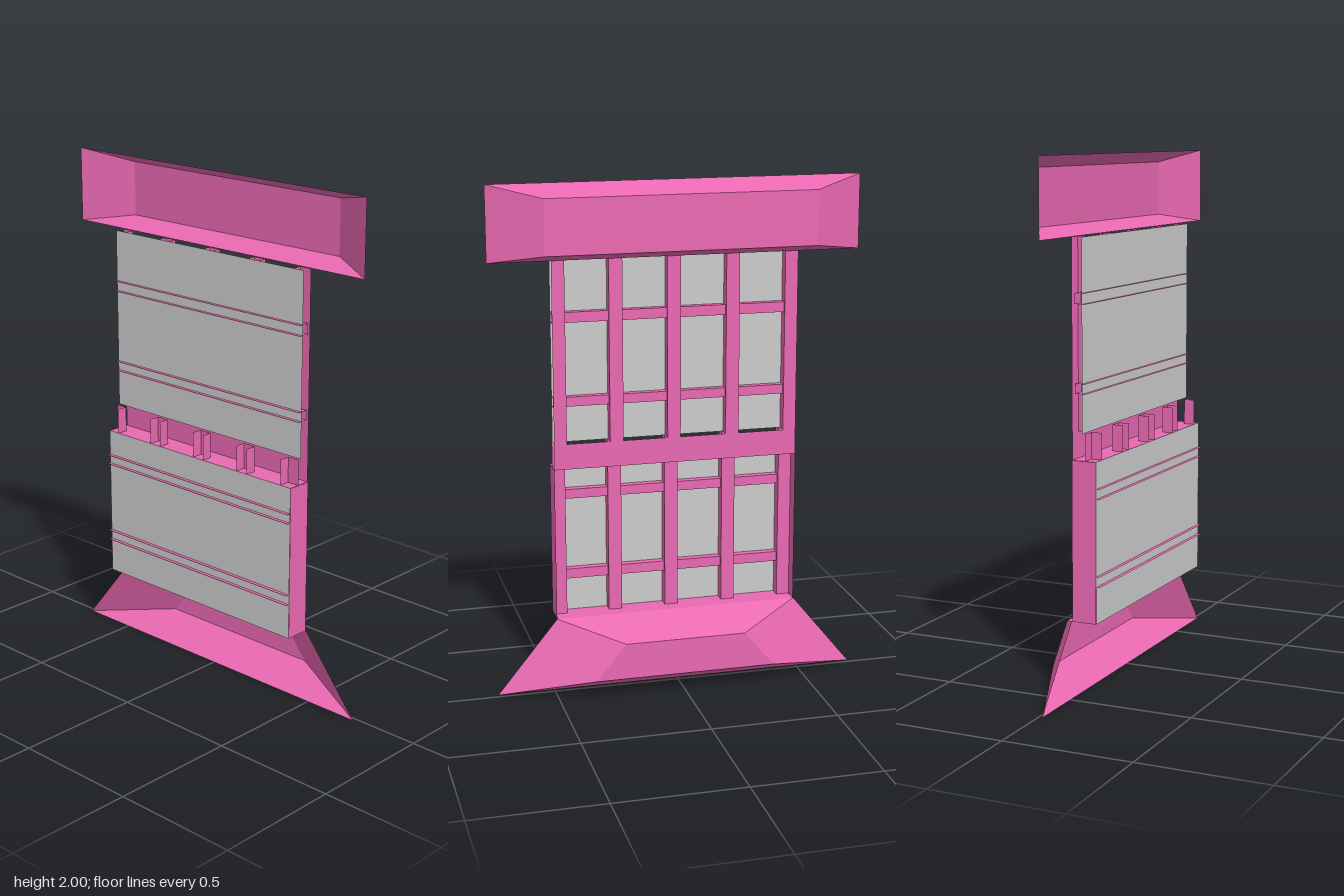
import * as THREE from 'three';

const pink = new THREE.MeshStandardMaterial({ color: 0xe968b1, side: THREE.DoubleSide, flatShading: true });
const grey = new THREE.MeshStandardMaterial({ color: 0xcccccc, side: THREE.DoubleSide, flatShading: true });

// Mesh made of flat four-cornered sheets
function sheets(name, quads, material = pink) {
  const pos = [];
  for (const [a, b, c, d] of quads) pos.push(...a, ...b, ...c, ...a, ...c, ...d);
  const geo = new THREE.BufferGeometry();
  geo.setAttribute('position', new THREE.Float32BufferAttribute(pos, 3));
  geo.computeVertexNormals();
  const mesh = new THREE.Mesh(geo, material);
  mesh.name = name;
  return mesh;
}

// Axis-aligned sheets, each facing along one axis
const faceX = (x, y0, y1, z0, z1) => [[x, y0, z1], [x, y0, z0], [x, y1, z0], [x, y1, z1]];
const faceY = (y, x0, x1, z0, z1) => [[x0, y, z1], [x1, y, z1], [x1, y, z0], [x0, y, z0]];
const faceZ = (z, x0, x1, y0, y1) => [[x0, y0, z], [x1, y0, z], [x1, y1, z], [x0, y1, z]];

// Tapered moulding with an open back; each ring is [x, yBottom, yTop, zBottom, zTop]
function moulding(name, back, front) {
  const ring = ([x, y0, y1, zb, zt]) => [[x, y0, zb], [x, y0, -zb], [x, y1, -zt], [x, y1, zt]];
  const a = ring(back), b = ring(front);
  const quads = a.map((p, i) => {
    const j = (i + 1) % 4;
    return [p, a[j], b[j], b[i]];
  });
  return sheets(name, [...quads, b]);
}

const HALF = 0.483;
const uprights = [[-HALF, -0.432], [-0.25, -0.197], [-0.016, 0.036], [0.211, 0.264], [0.433, HALF]];

// Window sash: pane, uprights open to the pane, crossbars passing through it
function sash(name, { front, pane, y0, paneTop, top, bars }) {
  const group = new THREE.Group();
  group.name = name;
  group.add(sheets('pane', [faceX(pane, y0, paneTop, -HALF, HALF)], grey));
  for (const [z0, z1] of uprights) {
    const quads = [faceX(front, y0, top, z0, z1)];
    for (const z of [z0, z1]) {
      if (Math.abs(z) < HALF) quads.push(faceZ(z, pane, front, y0, top));
    }
    group.add(sheets('upright', quads));
  }
  for (const [b0, b1] of bars) {
    const xf = front - 0.012, xb = pane - 0.015;
    group.add(sheets('crossbar', [
      faceX(xf, b0, b1, -HALF, HALF),
      faceY(b0, xb, xf, -HALF, HALF),
      faceY(b1, xb, xf, -HALF, HALF),
    ]));
  }
  return group;
}

export function createModel() {
  const model = new THREE.Group();
  model.name = 'window';

  // Cornice and sill
  model.add(moulding('cornice', [-0.016, 1.71, 2, 0.725, 0.725], [0.086, 1.743, 1.955, 0.525, 0.525]));
  model.add(moulding('sill', [-0.016, 0, 0.295, 0.725, 0.485], [0.127, 0.076, 0.22, 0.36, 0.24]));

  // Sashes, the lower one set further back
  model.add(sash('upperSash', {
    front: -0.02, pane: -0.06, y0: 1, paneTop: 1.71, top: 1.71,
    bars: [[1.145, 1.182], [1.47, 1.51]],
  }));
  model.add(sash('lowerSash', {
    front: -0.072, pane: -0.115, y0: 0.295, paneTop: 0.9, top: 1,
    bars: [[0.435, 0.474], [0.763, 0.8]],
  }));

  // Meeting rail with its underside
  model.add(sheets('meetingRail', [
    faceX(-0.02, 0.9, 1, -HALF, HALF),
    faceY(0.9, -0.115, -0.02, -HALF, HALF),
  ]));

  // Reveal around the lower sash
  model.add(sheets('lowerReveal', [
    faceZ(HALF + 0.001, -0.115, -0.018, 0.295, 0.9),
    faceZ(-HALF - 0.001, -0.115, -0.018, 0.295, 0.9),
    faceY(0.295, -0.115, -0.016, -HALF, HALF),
  ]));

  return model;
}
